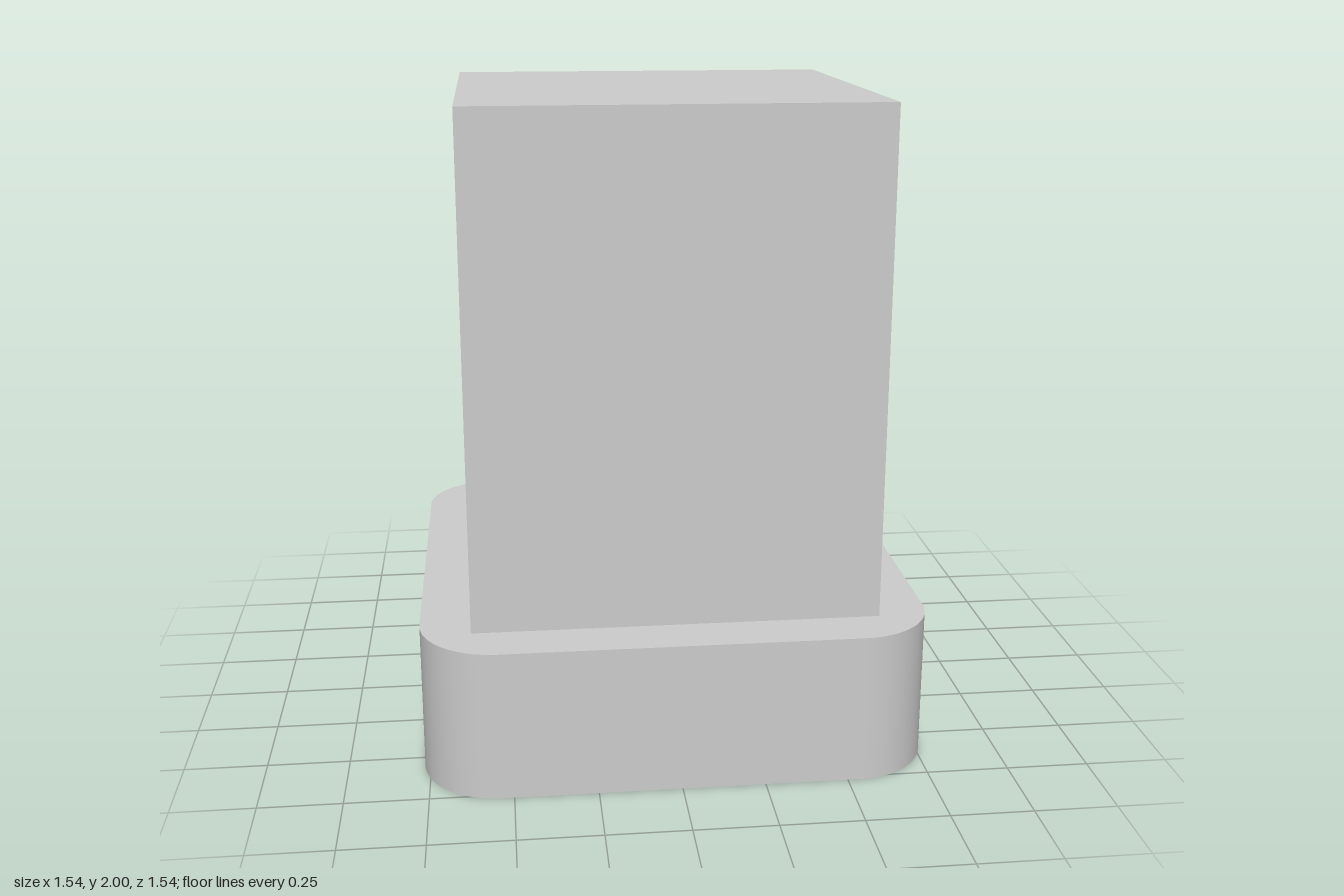
import * as THREE from 'three';
import { toCreasedNormals } from 'three/addons/utils/BufferGeometryUtils.js';

const BASE = { half: 0.769, height: 0.4615, radius: 0.2308 };
const COLUMN = { width: 1.231, height: 2 - BASE.height };

// Square outline with rounded corners, traced anticlockwise
function roundedSquare(half, radius) {
  const shape = new THREE.Shape();
  const c = half - radius;
  [[c, c], [-c, c], [-c, -c], [c, -c]].forEach(([x, y], i) => {
    const start = i * Math.PI / 2;
    shape.absarc(x, y, radius, start, start + Math.PI / 2, false);
  });
  shape.closePath();
  return shape;
}

export function createModel() {
  const model = new THREE.Group();
  model.name = 'columnOnPlinth';
  const material = new THREE.MeshStandardMaterial({ color: 0xcccccc });

  // Plinth: rounded square slab with smooth corners and sharp rims
  const slab = new THREE.ExtrudeGeometry(roundedSquare(BASE.half, BASE.radius), {
    depth: BASE.height, bevelEnabled: false, curveSegments: 16,
  });
  slab.rotateX(-Math.PI / 2);
  const plinth = new THREE.Mesh(toCreasedNormals(slab, Math.PI / 6), material);
  plinth.name = 'plinth';
  model.add(plinth);

  // Column: sharp-edged square block standing on the plinth
  const column = new THREE.Mesh(
    new THREE.BoxGeometry(COLUMN.width, COLUMN.height, COLUMN.width), material);
  column.name = 'column';
  column.position.y = BASE.height + COLUMN.height / 2;
  model.add(column);

  return model;
}
